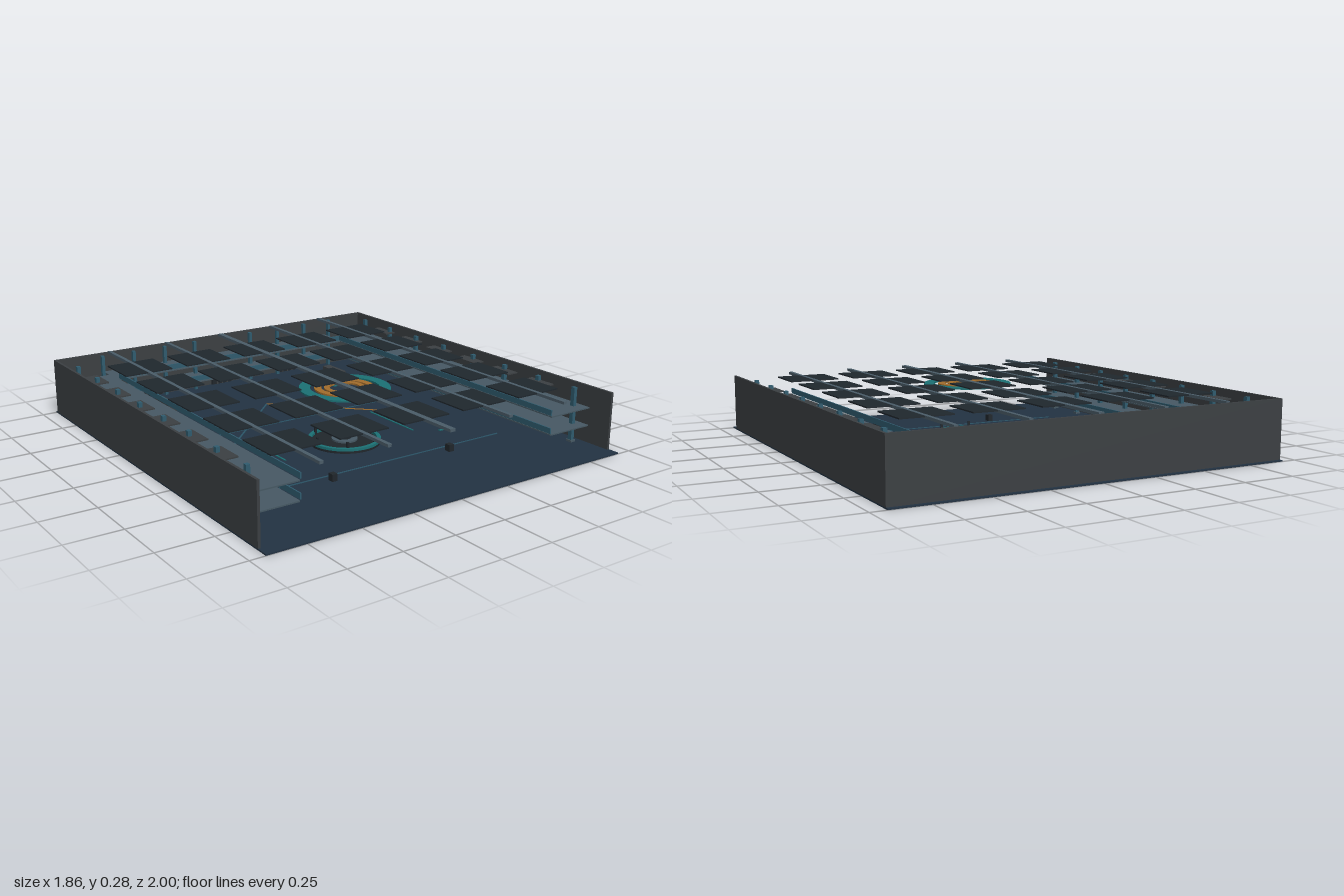
import * as THREE from 'three';

const mats = {};
const mat = (color) => (mats[color] ??= new THREE.MeshStandardMaterial({ color, side: THREE.DoubleSide }));
const FLOOR = 0x223242, WALL = 0x3b3f42, DECK = 0x465863, PANEL = 0x1f272d, BEAM = 0x4a5c68,
  TEAL = 0x1b7074, ORANGE = 0xa06c2c, RAIL = 0x2f5b6e, DARK = 0x20262b, LINE = 0x2b5568;

export function createModel() {
  const root = new THREE.Group();

  const add = (name, geo, color, x, y, z) => {
    const m = new THREE.Mesh(geo, mat(color));
    m.name = name;
    m.position.set(x, y, z);
    root.add(m);
    return m;
  };
  // Box given by its extents on each axis
  const box = (name, color, x0, x1, y0, y1, z0, z1) =>
    add(name, new THREE.BoxGeometry(Math.abs(x1 - x0), y1 - y0, z1 - z0), color,
      (x0 + x1) / 2, (y0 + y1) / 2, (z0 + z1) / 2);
  // Same box on both sides
  const pair = (name, color, x0, x1, ...rest) => {
    box(name, color, x0, x1, ...rest);
    box(name, color, -x0, -x1, ...rest);
  };
  // Flat annulus lying in the horizontal plane
  const ring = (name, color, r0, r1, y, h, z) => {
    const s = new THREE.Shape().absarc(0, 0, r1, 0, Math.PI * 2);
    if (r0 > 0) s.holes.push(new THREE.Path().absarc(0, 0, r0, 0, Math.PI * 2, true));
    const g = new THREE.ExtrudeGeometry(s, { depth: h, bevelEnabled: false, curveSegments: 32 });
    g.rotateX(-Math.PI / 2);
    add(name, g, color, 0, y, z);
  };

  // Shell
  box('floor', FLOOR, -0.93, 0.93, 0, 0.006, -1, 1);
  pair('sideWall', WALL, 0.918, 0.93, 0.006, 0.275, -0.985, 0.945);
  box('backWall', WALL, -0.93, 0.93, 0.006, 0.275, -0.985, -0.972);

  // Two gallery levels with railings
  for (const y of [0.088, 0.173]) {
    pair('sideDeck', DECK, 0.67, 0.91, y, y + 0.006, -0.9, 0.83);
    box('backDeck', DECK, -0.68, 0.68, y, y + 0.006, -0.97, -0.8);
    box('backRailing', RAIL, -0.66, 0.66, y + 0.01, y + 0.036, -0.803, -0.797);
    pair('sideRailing', RAIL, 0.664, 0.67, y + 0.01, y + 0.036, -0.8, 0.83);
    // Slabs along the side galleries
    for (let i = 0; i < 6; i++) {
      const z = -0.645 + i * 0.241;
      pair('gallerySlab', WALL, 0.82, 0.88, y + 0.066, y + 0.072, z - 0.07, z + 0.07);
    }
  }

  // Columns along the side walls and pilasters on the back wall
  for (let i = 0; i < 8; i++) {
    const z = -0.83 + i * 0.2286;
    pair('sideColumn', RAIL, 0.858, 0.876, 0.006, 0.268, z - 0.01, z + 0.01);
    pair('columnFoot', DECK, 0.853, 0.881, 0.006, 0.016, z - 0.015, z + 0.015);
  }
  for (const x of [0.17, 0.345, 0.52, 0.69])
    pair('backPilaster', RAIL, x - 0.008, x + 0.008, 0.006, 0.268, -0.955, -0.937);

  // Ceiling: long beams and a grid of panels
  for (let i = -2; i <= 2; i++) {
    const x = i * 0.32, w = i === 0 ? 0.013 : 0.009;
    box('ceilingBeam', BEAM, x - w, x + w, 0.268, 0.281, -0.97, 0.93);
    for (let j = -2; j <= 2; j++) {
      const z = 0.023 + j * 0.32;
      box('ceilingPanel', PANEL, x - 0.12, x + 0.12, 0.274, 0.28, z - 0.105, z + 0.105);
    }
  }

  // Hanging rings below the ceiling
  const cz = 0.183;
  ring('upperOuterRing', TEAL, 0.16, 0.21, 0.262, 0.008, cz);
  ring('upperMiddleRing', ORANGE, 0.108, 0.14, 0.262, 0.008, cz);
  ring('upperInnerRing', ORANGE, 0.07, 0.095, 0.262, 0.008, cz);

  // Round dais on the floor with posts
  ring('daisBase', DARK, 0, 0.165, 0.006, 0.012, cz);
  ring('daisRim', TEAL, 0.15, 0.168, 0.018, 0.012, cz);
  ring('daisTop', DECK, 0, 0.06, 0.018, 0.008, cz);
  ring('daisCore', DARK, 0.022, 0.03, 0.026, 0.004, cz);
  for (let i = 0; i < 6; i++) {
    const a = (i * Math.PI) / 3;
    add('daisPost', new THREE.BoxGeometry(0.01, 0.05, 0.01), DARK,
      Math.cos(a) * 0.15, 0.031, cz + Math.sin(a) * 0.15);
  }

  // Floor markings
  const y0 = 0.006, y1 = 0.009;
  box('crossStripe', LINE, -0.5, 0.5, y0, y1, -0.221, -0.215);
  box('crossStripe', LINE, -0.66, 0.66, y0, y1, 0.497, 0.503);
  pair('longStripe', TEAL, 0.356, 0.364, y0, y1, -0.1, 0.24);
  for (const z of [-0.565, -0.27, 0.02, 0.313])
    pair('shortMark', TEAL, 0.46, 0.52, y0, y1, z - 0.006, z + 0.006);
  for (const s of [-1, 1]) {
    const d = add('diagonalStripe', new THREE.BoxGeometry(0.66, 0.003, 0.008),
      s > 0 ? ORANGE : LINE, s * 0.235, 0.0075, -0.27);
    d.rotation.y = -s * Math.PI / 4.04;
  }

  // Doors on the back wall
  for (const x of [-0.42, 0, 0.42]) {
    box('backDoor', DARK, x - 0.06, x + 0.06, 0.006, 0.085, -0.972, -0.964);
    for (let k = -1; k <= 1; k++)
      box('doorRib', WALL, x + k * 0.03 - 0.004, x + k * 0.03 + 0.004, 0.006, 0.083, -0.964, -0.96);
  }

  // Cabinets, consoles and lamp pedestals on the main floor
  pair('cabinet', WALL, 0.485, 0.53, 0.006, 0.085, -0.7, -0.55);
  pair('console', DARK, 0.308, 0.334, 0.006, 0.038, 0.535, 0.565);
  pair('pedestal', DECK, 0.56, 0.59, 0.006, 0.03, -0.325, -0.295);
  pair('pedestalLamp', TEAL, 0.563, 0.587, 0.04, 0.062, -0.322, -0.298);
  pair('pedestalStem', DARK, 0.571, 0.579, 0.03, 0.04, -0.314, -0.306);

  return root;
}
